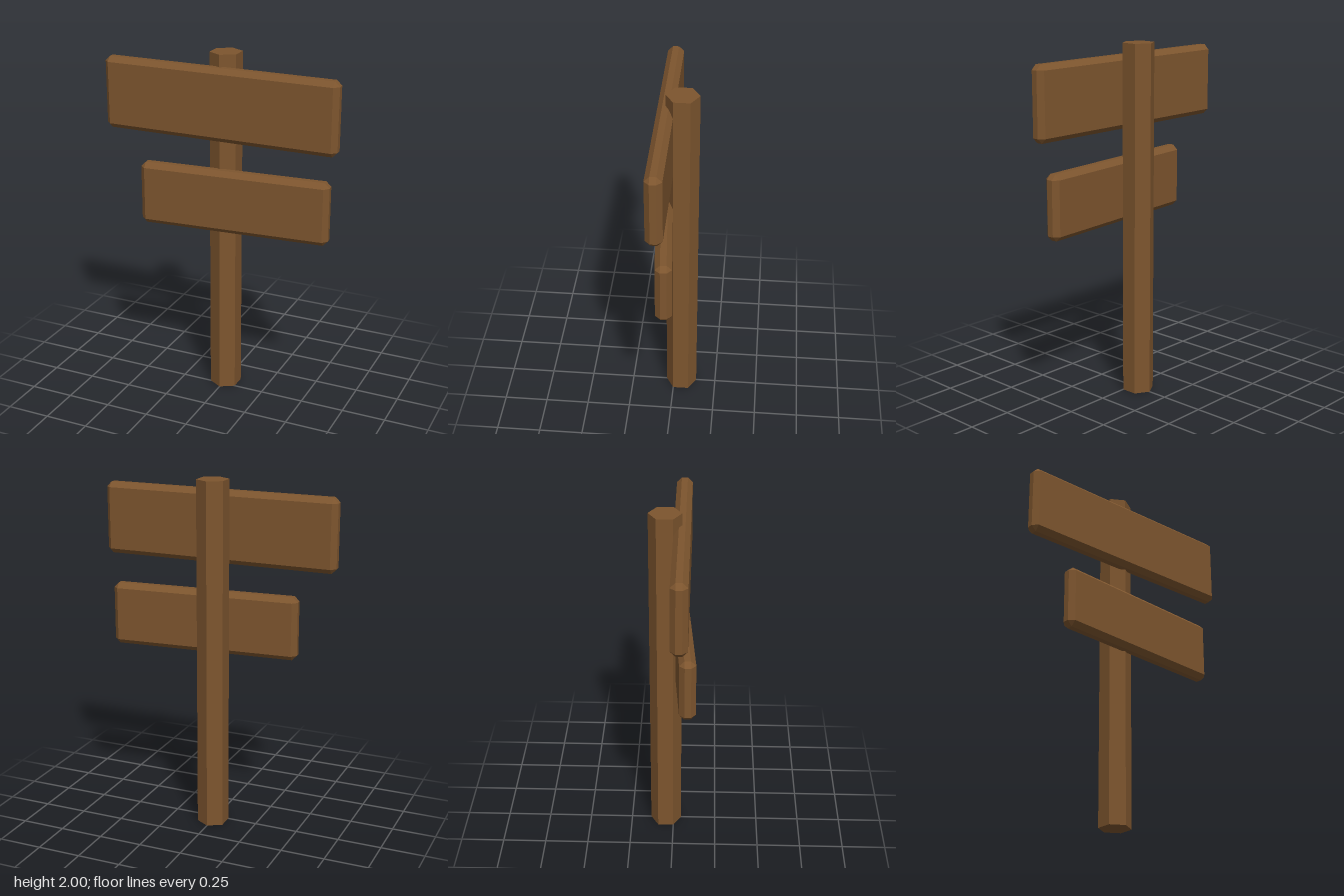
import * as THREE from 'three';
import { ConvexGeometry } from 'three/addons/geometries/ConvexGeometry.js';

// Box with every edge and corner chamfered by b
function chamferedBox(width, height, depth, b) {
  const x = width / 2, y = height / 2, z = depth / 2;
  const points = [];
  for (const sx of [-1, 1]) for (const sy of [-1, 1]) for (const sz of [-1, 1]) {
    points.push(
      new THREE.Vector3(sx * x, sy * (y - b), sz * (z - b)),
      new THREE.Vector3(sx * (x - b), sy * y, sz * (z - b)),
      new THREE.Vector3(sx * (x - b), sy * (y - b), sz * z)
    );
  }
  return new ConvexGeometry(points);
}

export function createModel() {
  const group = new THREE.Group();
  group.name = 'signpost';
  const wood = new THREE.MeshStandardMaterial({ color: 0x7d552e, flatShading: true });
  wood.name = 'brown wood';

  function add(name, geometry, x, y, z, turn = 0) {
    const mesh = new THREE.Mesh(geometry, wood);
    mesh.name = name;
    mesh.position.set(x, y, z);
    mesh.rotation.y = turn;
    group.add(mesh);
  }

  // Hexagonal post, one corner toward the front
  add('post', new THREE.CylinderGeometry(0.09, 0.09, 2, 6), 0, 1, -0.045);

  // Chamfered boards, the lower one slightly turned
  add('upperBoard', chamferedBox(1.36, 0.406, 0.09, 0.028), 0, 1.73, 0.045);
  add('lowerBoard', chamferedBox(1.086, 0.36, 0.09, 0.028), 0.088, 1.184, 0.045, 0.079);

  return group;
}
